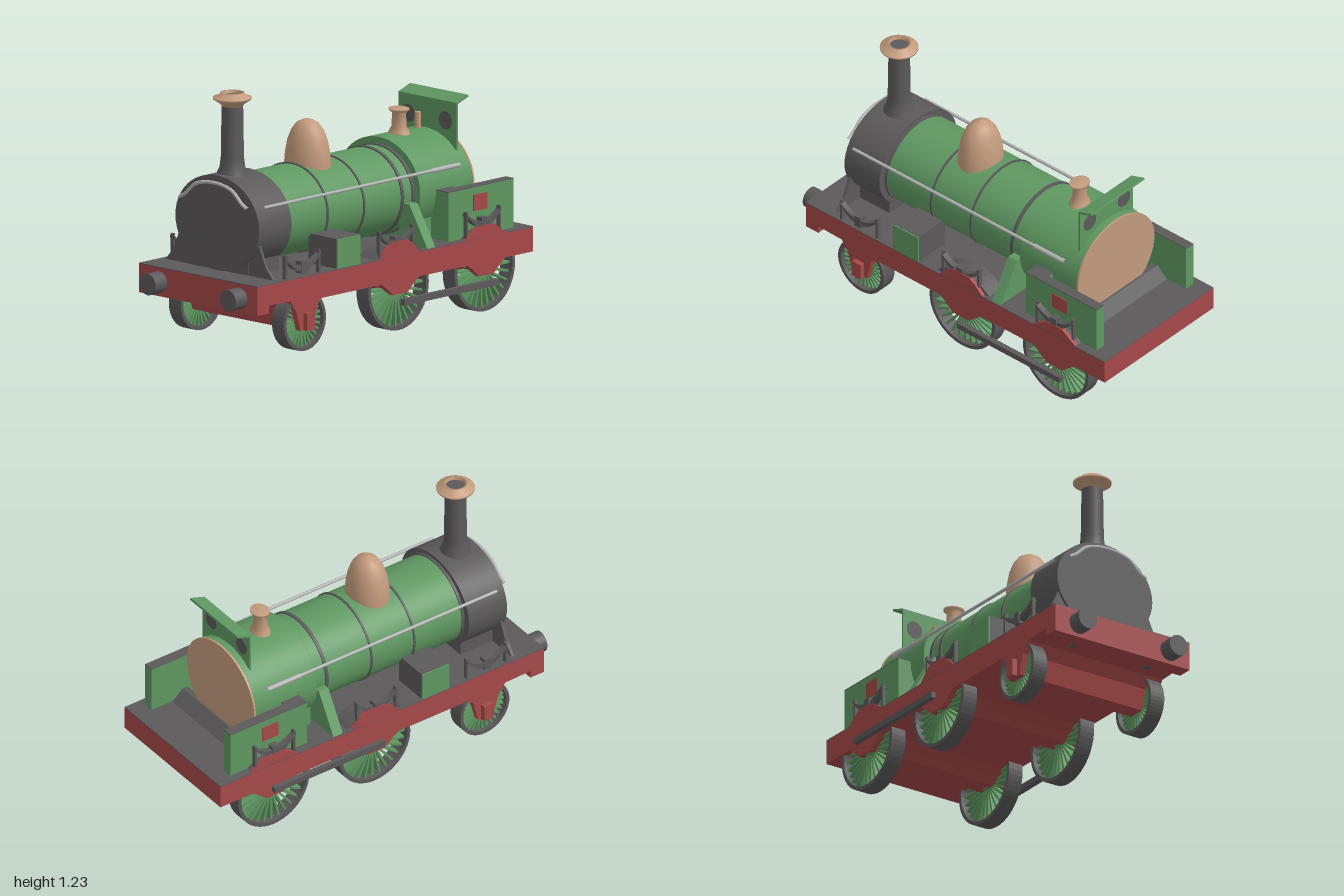
import * as THREE from 'three';

const mat = (name, color, side = THREE.FrontSide) => {
  const m = new THREE.MeshStandardMaterial({ color, side });
  m.name = name;
  return m;
};

export function createModel() {
  const red = mat('frame red', 0xa64848);
  const green = mat('engine green', 0x5f9862);
  const grey = mat('iron grey', 0x5b5959);
  const tan = mat('copper tan', 0xc39b7d, THREE.DoubleSide);
  const silver = mat('polished steel', 0xb4b4b4);

  const root = new THREE.Group();
  root.name = 'steamLocomotive';
  const chassis = new THREE.Group();
  chassis.name = 'chassis';
  chassis.position.x = 0.006;
  root.add(chassis);

  const add = (parent, name, geo, m, x = 0, y = 0, z = 0) => {
    const mesh = new THREE.Mesh(geo, m);
    mesh.name = name;
    mesh.position.set(x, y, z);
    parent.add(mesh);
    return mesh;
  };
  // Box from its minimum and maximum on each axis
  const box = (parent, name, m, x0, x1, y0, y1, z0, z1) =>
    add(parent, name, new THREE.BoxGeometry(Math.abs(x1 - x0), y1 - y0, z1 - z0), m,
      (x0 + x1) / 2, (y0 + y1) / 2, (z0 + z1) / 2);
  const shapeOf = pts => new THREE.Shape(pts.map(p => new THREE.Vector2(p[0], p[1])));
  // Prism across x from a [z, y] outline
  const prism = (parent, name, m, pts, xa, xb) => {
    const x0 = Math.min(xa, xb), x1 = Math.max(xa, xb);
    const g = new THREE.ExtrudeGeometry(shapeOf(pts), { depth: x1 - x0, bevelEnabled: false });
    g.rotateY(-Math.PI / 2).translate(x1, 0, 0);
    return add(parent, name, g, m);
  };
  // Plate along z from an [x, y] outline
  const plate = (parent, name, m, pts, z0, z1) =>
    add(parent, name, new THREE.ExtrudeGeometry(shapeOf(pts), { depth: z1 - z0, bevelEnabled: false }), m, 0, 0, z0);
  // Elliptical drum along z
  const drum = (name, m, rx, ry, y, z0, z1) =>
    add(root, name, new THREE.CylinderGeometry(1, 1, z1 - z0, 48).rotateX(Math.PI / 2).scale(rx, ry, 1), m, 0, y, (z0 + z1) / 2);
  const lathe = (name, m, pts, z, sx = 1) =>
    add(root, name, new THREE.LatheGeometry(pts.map(p => new THREE.Vector2(p[0], p[1])), 32).scale(sx, 1, 1), m, 0, 0, z);
  const tube = (name, m, pts, r) =>
    add(root, name, new THREE.TubeGeometry(new THREE.CatmullRomCurve3(pts.map(p => new THREE.Vector3(...p))), 40, r, 8), m);
  const arc = (z, y, r, floor) => {
    const a = Math.asin((floor - y) / r), pts = [];
    for (let i = 0; i <= 16; i++) {
      const t = a + (Math.PI - 2 * a) * i / 16;
      pts.push([z + r * Math.cos(t), y + r * Math.sin(t)]);
    }
    return pts;
  };

  // Frame with hanging axle guards, deck on top
  const W = 0.396;
  const guard = z => [[z - 0.13, 0.25], [z - 0.085, 0.215], [z - 0.05, 0.185], [z + 0.05, 0.185], [z + 0.085, 0.215], [z + 0.13, 0.25]];
  prism(chassis, 'frame', red, [[-1, 0.371], [-1, 0.25], ...guard(-0.675), ...guard(-0.075),
    [0.47, 0.25], [0.5, 0.225], [0.53, 0.11], [0.62, 0.11], [0.65, 0.21], [0.69, 0.265],
    [0.84, 0.27], [0.84, 0.23], [0.92, 0.23], [0.92, 0.371]], -W, W);
  box(chassis, 'deck', grey, -W, W, 0.371, 0.375, -1, 0.92);

  // Spoked wheel
  const wheel = (name, s, r, z) => {
    const g = new THREE.Group();
    g.name = name;
    g.position.set(s * 0.345, r + 0.004, z);
    chassis.add(g);
    const ring = new THREE.Shape().absarc(0, 0, r, 0, Math.PI * 2);
    ring.holes.push(new THREE.Path().absarc(0, 0, r - 0.018, 0, Math.PI * 2, true));
    add(g, 'tyre', new THREE.ExtrudeGeometry(ring, { depth: 0.08, bevelEnabled: false, curveSegments: 24 })
      .translate(0, 0, -0.04).rotateY(Math.PI / 2), grey);
    add(g, 'hub', new THREE.CylinderGeometry(0.035, 0.035, 0.076, 20).rotateZ(Math.PI / 2), green);
    const n = 28, len = r - 0.04;
    for (let i = 0; i < n; i++) {
      const spoke = new THREE.BoxGeometry(0.04, len, 0.011).translate(0, 0.03 + len / 2, 0);
      add(g, 'spoke', spoke.rotateX(i / n * Math.PI * 2), green);
    }
  };
  [[0.577, 0.146], [-0.075, 0.21], [-0.675, 0.21]].forEach(([z, r], i) => {
    const name = ['leading', 'driving', 'trailing'][i];
    for (const s of [-1, 1]) wheel(name + 'Wheel', s, r, z);
    add(chassis, name + 'Axle', new THREE.CylinderGeometry(0.022, 0.022, 0.62, 16).rotateZ(Math.PI / 2), grey, 0, r + 0.004, z);
  });

  // Leaf spring with end hangers and centre buckle
  const spring = (s, z, y) => {
    const pts = [];
    for (let i = 0; i <= 10; i++) { const t = i / 5 - 1; pts.push([z + t * 0.12, y + 0.05 * t * t]); }
    for (let i = 10; i >= 0; i--) { const t = i / 5 - 1; pts.push([z + t * 0.12, y - 0.03 + 0.07 * t * t]); }
    prism(chassis, 'leafSpring', grey, pts, s * 0.36, s * 0.39);
    box(chassis, 'springBuckle', grey, s * 0.355, s * 0.394, y - 0.04, y + 0.02, z - 0.02, z + 0.02);
    for (const e of [-1, 1]) {
      box(chassis, 'springHanger', grey, s * 0.365, s * 0.385, 0.375, y + 0.06, z + e * 0.115 - 0.006, z + e * 0.115 + 0.006);
    }
  };

  for (const s of [-1, 1]) {
    spring(s, 0.59, 0.43);
    spring(s, -0.062, 0.45);
    spring(s, -0.667, 0.45);
    box(chassis, 'axleBox', red, s * 0.38, s * 0.422, 0.11, 0.195, 0.547, 0.6);
    // Splashers and their red faces
    prism(chassis, 'splasher', grey, arc(-0.075, 0.214, 0.23, 0.373), s * 0.28, s * 0.376);
    for (const [z, h] of [[-0.075, 0.447], [-0.675, 0.432]]) {
      prism(chassis, 'splasherFace', red, [[z - 0.14, 0.372], [z - 0.09, h - 0.025], [z - 0.05, h],
        [z + 0.05, h], [z + 0.09, h - 0.025], [z + 0.14, 0.372]], s * 0.376, s * W);
    }
    // Sandbox with painted outer face
    box(chassis, 'sandbox', grey, s * 0.2, s * 0.388, 0.375, 0.522, 0.2, 0.36);
    box(chassis, 'sandboxFace', green, s * 0.388, s * 0.395, 0.375, 0.52, 0.2, 0.36);
    // Sloping boiler bracket
    plate(chassis, 'boilerBracket', green, s > 0
      ? [[0.2, 0.375], [0.39, 0.375], [0.27, 0.575], [0.2, 0.575]]
      : [[-0.2, 0.575], [-0.27, 0.575], [-0.39, 0.375], [-0.2, 0.375]], -0.325, -0.27);
    // Cab side sheet, thicker at its front end
    box(chassis, 'sideSheet', green, s * 0.3, s * 0.352, 0.375, 0.616, -0.91, -0.455);
    box(chassis, 'sideSheetTop', grey, s * 0.3, s * 0.352, 0.616, 0.62, -0.91, -0.455);
    box(chassis, 'sideLocker', green, s * 0.235, s * 0.3, 0.375, 0.616, -0.555, -0.455);
    box(chassis, 'sideLockerTop', grey, s * 0.235, s * 0.3, 0.616, 0.62, -0.555, -0.455);
    box(chassis, 'sidePanel', red, s * 0.352, s * 0.357, 0.5, 0.58, -0.722, -0.628);
    // Buffers, guard irons and handrails
    add(root, 'buffer', new THREE.CylinderGeometry(0.053, 0.053, 0.08, 32).rotateX(Math.PI / 2), grey, 0.014 + s * 0.268, 0.3, 0.96);
    box(chassis, 'guardIron', grey, s * 0.2, s * 0.23, 0.234, 0.246, 0.795, 0.85);
    const x = 0.005 + s * 0.262;
    tube('handrail', silver, [[x, 0.715, 0.735], [x, 0.715, 0], [x, 0.715, -0.62]], 0.008);
    tube('handrailSleeve', silver, [[x, 0.715, -0.43], [x, 0.715, -0.625]], 0.012);
  }
  // Coupling rods, set a quarter turn apart
  box(root, 'couplingRod', grey, 0.402, 0.43, 0.13, 0.16, -0.735, -0.075);
  box(root, 'couplingRod', grey, -0.435, -0.41, 0.235, 0.265, -0.71, -0.055);

  // Boiler, firebox and smokebox
  drum('boiler', green, 0.237, 0.215, 0.604, -0.36, 0.56);
  drum('firebox', green, 0.276, 0.245, 0.612, -0.71, -0.345);
  drum('backplate', tan, 0.279, 0.248, 0.612, -0.72, -0.71);
  drum('smokebox', grey, 0.28, 0.234, 0.608, 0.555, 0.78);
  for (const [z, w] of [[0.548, 0.014], [0.26, 0.01], [0.006, 0.01], [-0.26, 0.018], [-0.337, 0.022]]) {
    drum('boilerBand', grey, 0.243, 0.221, 0.604, z - w / 2, z + w / 2);
  }
  box(root, 'fireboxBase', green, -0.23, 0.23, 0.375, 0.5, -0.705, -0.35);
  prism(root, 'footplateSlope', grey, [[-0.79, 0.374], [-0.7, 0.374], [-0.7, 0.43], [-0.73, 0.43]], -0.29, 0.3);
  box(root, 'smokeboxSaddle', grey, -0.2, 0.2, 0.374, 0.48, 0.56, 0.77);
  plate(root, 'saddlePlate', grey, [[-0.36, 0.374], [0.36, 0.374], [0.31, 0.43], [0.265, 0.53],
    [-0.265, 0.53], [-0.31, 0.43]], 0.752, 0.766);
  tube('smokeboxRail', silver, [[-0.225, 0.71, 0.805], [-0.19, 0.73, 0.805], [-0.12, 0.788, 0.805], [0, 0.81, 0.805],
    [0.12, 0.788, 0.805], [0.19, 0.73, 0.805], [0.225, 0.712, 0.805]], 0.009);

  // Chimney and cap
  lathe('chimney', grey, [[0.09, 0.79], [0.078, 0.835], [0.062, 0.87], [0.056, 0.92], [0.052, 1.18]], 0.675);
  lathe('chimneyCap', tan, [[0.052, 1.17], [0.06, 1.182], [0.093, 1.203], [0.094, 1.213], [0.065, 1.222],
    [0.06, 1.236], [0.047, 1.236], [0.047, 1.2]], 0.675);
  add(root, 'chimneyMouth', new THREE.CylinderGeometry(0.05, 0.05, 0.01, 32), grey, 0, 1.215, 0.675);

  // Dome, safety valve and whistle
  lathe('steamDome', tan, [[0.104, 0.76], [0.104, 0.81], [0.1, 0.86], [0.09, 0.92], [0.073, 0.97],
    [0.05, 1.005], [0.025, 1.02], [0, 1.028]], 0.152, 1.17);
  lathe('safetyValve', tan, [[0.055, 0.83], [0.045, 0.865], [0.034, 0.885], [0.03, 0.955], [0.045, 0.968],
    [0.045, 0.978], [0, 0.98]], -0.485, 1.2);
  add(root, 'whistle', new THREE.CylinderGeometry(0.016, 0.016, 0.11, 16), tan, -0.012, 0.88, -0.628);

  // Weatherboard with bent top and round windows
  prism(root, 'weatherboard', green, [[-0.673, 0.77], [-0.663, 0.77], [-0.663, 1.006], [-0.745, 1.034],
    [-0.748, 1.024], [-0.673, 0.998]], -0.175, 0.212);
  for (const x of [-0.108, 0.14]) {
    add(root, 'roundWindow', new THREE.CylinderGeometry(0.044, 0.044, 0.014, 28).rotateX(Math.PI / 2), grey, x, 0.91, -0.668);
  }
  return root;
}
